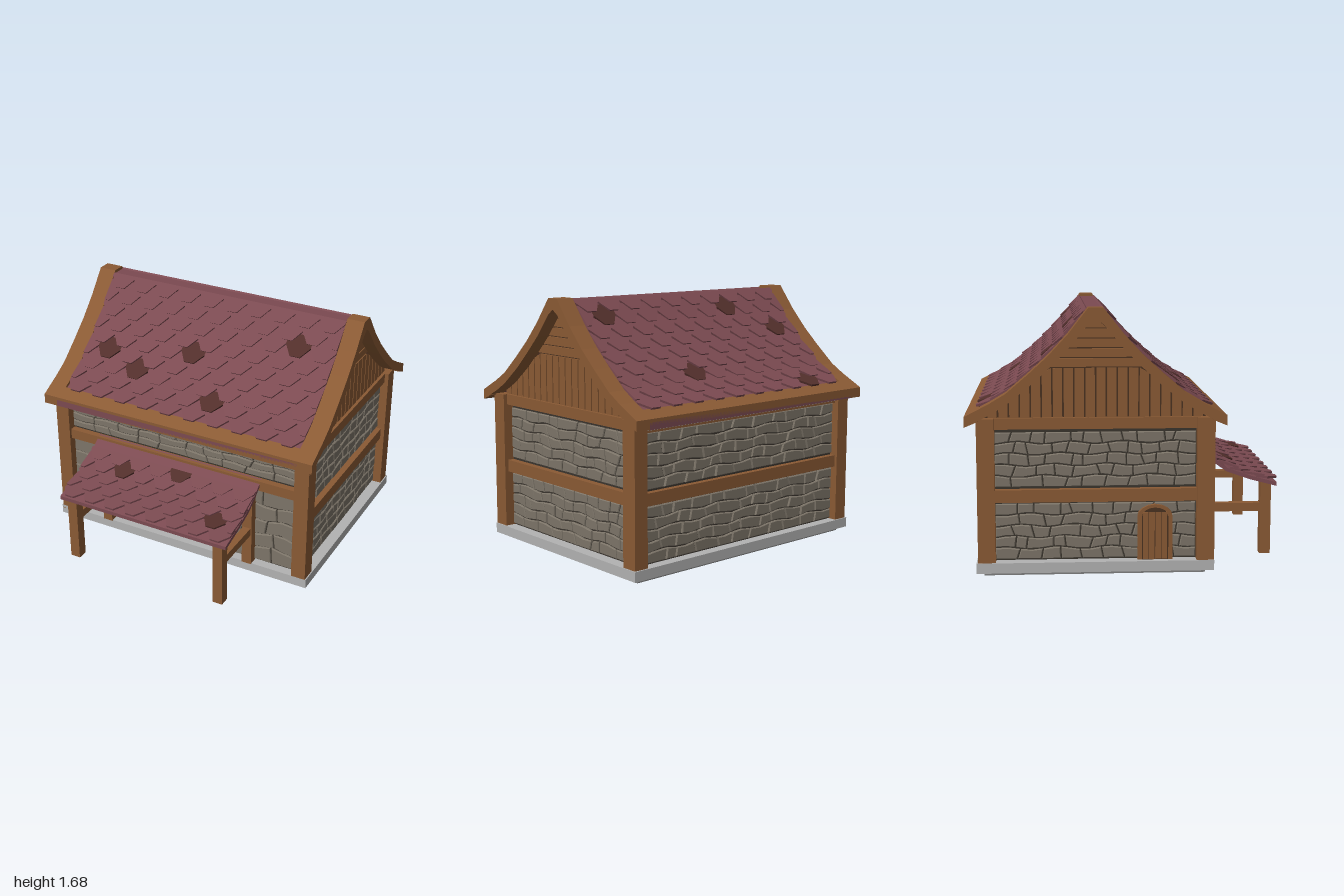
import * as THREE from 'three';
import { mergeGeometries } from 'three/addons/utils/BufferGeometryUtils.js';

const mat = (color) => new THREE.MeshStandardMaterial({ color, flatShading: true });
const wood = mat(0x8a5a34), darkWood = mat(0x4a3220), stone = mat(0x7c7468), mortar = mat(0x3a342d);
const slab = mat(0xb2b2b2), plinthGrey = mat(0x808080), red = mat(0x7b4a51), darkTile = mat(0x522f2b);

const ZC = -0.19; // ridge line
// half profiles as [distance from ridge, height]
const OUTER = [[0.045, 1.68], [0.17, 1.52], [0.29, 1.39], [0.41, 1.28], [0.55, 1.16], [0.65, 1.1], [0.805, 1.02]];
const INNER = [[0, 1.61], [0.045, 1.58], [0.17, 1.43], [0.29, 1.31], [0.41, 1.2], [0.55, 1.09], [0.65, 1.03], [0.805, 0.955]];

function seeded(seed) {
  return () => {
    seed = (seed * 16807) % 2147483647;
    return seed / 2147483647;
  };
}

// linear lookup in a list of points: key column k, value column v
function lookup(pts, t, k = 0, v = 1) {
  for (let i = 1; i < pts.length; i++) {
    const a = pts[i - 1], b = pts[i];
    if ((t - a[k]) * (t - b[k]) <= 0) return a[v] + ((b[v] - a[v]) * (t - a[k])) / (b[k] - a[k]);
  }
  return pts[pts.length - 1][v];
}

// extrude a (z, y) outline between x0 and x1
function prism(pts, x0, x1) {
  const shape = new THREE.Shape(pts.map((p) => new THREE.Vector2(p[0], p[1])));
  const geo = new THREE.ExtrudeGeometry(shape, { depth: x1 - x0, bevelEnabled: false });
  return geo.rotateY(-Math.PI / 2).translate(x1, 0, 0);
}

const mirrorProfile = (pts) => [
  ...pts.map(([d, y]) => [ZC + d, y]).reverse(),
  ...pts.filter((p) => p[0] > 0).map(([d, y]) => [ZC - d, y]),
];

// jittered courses of bevelled stones, facing +z from the lower left corner
function stonePanel(w, h, rows, cols, seed) {
  const rnd = seeded(seed), geos = [], gap = 0.004;
  const line = (r, x) => (h * r) / rows + (r > 0 && r < rows ? Math.sin(x * 19 + r * 5.3 + seed) * h / rows * 0.14 : 0);
  for (let r = 0; r < rows; r++) {
    const n = cols + Math.floor(rnd() * 3) - 1;
    const cuts = [];
    for (let c = 0; c <= n; c++) {
      const edge = c === 0 || c === n ? 0 : 1, x = (w * (c + edge * (rnd() - 0.5) * 0.55)) / n;
      const lean = edge * (rnd() - 0.5) * 0.025;
      cuts.push([x - lean, x + lean]);
    }
    for (let c = 0; c < n; c++) {
      const [a0, a1] = cuts[c], [b0, b1] = cuts[c + 1], pts = [];
      for (const t of [0, 0.5, 1]) pts.push([a0 + (b0 - a0) * t, 0]);
      for (const t of [1, 0.5, 0]) pts.push([a1 + (b1 - a1) * t, 1]);
      const cx = (a0 + a1 + b0 + b1) / 4, cy = h * (r + 0.5) / rows;
      const sx = 1 - (2 * gap) / (b0 - a0), sy = 1 - (2 * gap * rows) / h;
      const shape = new THREE.Shape(pts.map(([x, k]) =>
        new THREE.Vector2(cx + (x - cx) * sx, cy + (line(r + k, x) - cy) * sy)));
      geos.push(new THREE.ExtrudeGeometry(shape, {
        depth: 0.008 + rnd() * 0.005, bevelEnabled: true, bevelSegments: 1,
        bevelThickness: 0.005, bevelSize: 0.005, bevelOffset: -0.005,
      }));
    }
  }
  return mergeGeometries(geos);
}

// overlapping pointed tiles laid down a curved slope; dark holds [x, d] spots of weathered tiles
function tileSlope(pts, x0, x1, rows, cols, dark, name) {
  const group = new THREE.Group();
  group.name = name;
  const len = [0];
  for (let i = 1; i < pts.length; i++) len.push(len[i - 1] + Math.hypot(pts[i][0] - pts[i - 1][0], pts[i][1] - pts[i - 1][1]));
  const table = pts.map((p, i) => [len[i], p[0], p[1]]);
  const pitch = len[len.length - 1] / rows, w = (x1 - x0) / cols;
  const at = (s) => new THREE.Vector3(0, lookup(table, s, 0, 2), lookup(table, s, 0, 1));
  const tiles = [];
  for (let r = 0; r < rows; r++) {
    const top = at(Math.max(0, (r - 0.55) * pitch)), end = at((r + 1) * pitch);
    const up = top.clone().sub(end), L = up.length();
    up.normalize();
    const normal = new THREE.Vector3(1, 0, 0).cross(up);
    for (let c = 0; c <= cols; c++) {
      const cx = x0 + w * (c + (r % 2 ? 0 : 0.5));
      if (cx - w / 2 > x1 - 0.001) continue;
      const outline = [[-0.5, L], [-0.5, pitch * 0.75], [-0.2, 0], [0.2, 0], [0.5, pitch * 0.75], [0.5, L]];
      const shape = new THREE.Shape(outline.map(([u, v]) =>
        new THREE.Vector2(THREE.MathUtils.clamp(cx + u * w, x0, x1), v)));
      const geo = new THREE.ExtrudeGeometry(shape, { depth: 0.014, bevelEnabled: false });
      // lift the lower end so each course sits over the next
      const lift = (p) => {
        for (let i = 0; i < p.count; i++) p.setZ(i, p.getZ(i) + 0.018 * (1 - p.getY(i) / L));
      };
      lift(geo.attributes.position);
      geo.applyMatrix4(new THREE.Matrix4().makeBasis(new THREE.Vector3(1, 0, 0), up, normal).setPosition(end));
      tiles.push({ geo, x: cx, d: end.z - pitch * 0.4 });
    }
  }
  for (const [x, d] of dark) {
    const dist = (t) => Math.hypot(t.x - x, t.d - d);
    tiles.reduce((a, b) => (dist(b) < dist(a) ? b : a)).dark = true;
  }
  for (const isDark of [false, true]) {
    const m = new THREE.Mesh(mergeGeometries(tiles.filter((t) => !!t.dark === isDark).map((t) => t.geo)), isDark ? darkTile : red);
    m.name = isDark ? 'weatheredTiles' : 'tiles';
    group.add(m);
  }
  return group;
}

export function createModel() {
  const model = new THREE.Group();
  const add = (name, geo, material) => {
    const m = new THREE.Mesh(geo, material);
    m.name = name;
    model.add(m);
    return m;
  };
  const box = (name, x0, x1, y0, y1, z0, z1, material = wood) =>
    add(name, new THREE.BoxGeometry(x1 - x0, y1 - y0, z1 - z0).translate((x0 + x1) / 2, (y0 + y1) / 2, (z0 + z1) / 2), material);

  // foundation and wall core
  box('plinth', -0.91, 0.91, 0.004, 0.035, -0.89, 0.5, plinthGrey);
  box('foundationSlab', -0.965, 0.965, 0.03, 0.095, -0.935, 0.55, slab);
  box('floorBeam', -0.055, 0.015, 0, 0.03, -0.79, -0.37);
  box('wallCore', -0.885, 0.885, 0.09, 0.95, -0.865, 0.485, mortar);
  box('wallPlate', -0.87, 0.87, 0.93, 0.99, -0.9, 0.52, slab);

  // stone panels: front, back and both ends
  const panel = (name, w, y0, y1, rows, cols, seed, x, z, turn) => {
    const m = add(name, stonePanel(w, y1 - y0, rows, cols, seed), stone);
    m.position.set(x, y0, z);
    m.rotation.y = turn;
  };
  panel('frontLowerStones', 1.72, 0.1, 0.66, 5, 9, 11, -0.86, 0.485, 0);
  panel('frontUpperStones', 1.72, 0.75, 0.915, 3, 11, 23, -0.86, 0.485, 0);
  panel('backLowerStones', 1.72, 0.1, 0.46, 5, 12, 37, 0.86, -0.865, Math.PI);
  panel('backUpperStones', 1.72, 0.56, 0.915, 5, 12, 41, 0.86, -0.865, Math.PI);
  for (const [y0, y1, seed] of [[0.1, 0.46, 53], [0.56, 0.91, 67]]) {
    panel('endStones', 1.26, y0, y1, 5, 10, seed, 0.885, 0.44, Math.PI / 2);
    panel('endStones', 1.26, y0, y1, 5, 10, seed + 5, -0.885, -0.82, -Math.PI / 2);
  }

  // timber frame
  for (const s of [-1, 1]) {
    const [xa, xb] = s > 0 ? [0.857, 0.957] : [-0.957, -0.857];
    box('cornerPost', xa, xb, 0.07, 1.0, 0.44, 0.55);
    box('cornerPost', xa, xb, 0.07, 1.0, -0.925, -0.815);
    const [ba, bb] = s > 0 ? [0.87, 0.93] : [-0.93, -0.87];
    box('endMiddleBeam', ba, bb, 0.47, 0.55, -0.82, 0.44);
    box('endTopBeam', ba, bb, 0.93, 1.0, -0.82, 0.44);
  }
  box('frontMiddleBeam', -0.86, 0.86, 0.67, 0.74, 0.47, 0.53);
  box('frontTopBeam', -0.86, 0.86, 0.915, 0.935, 0.47, 0.515);
  box('backMiddleBeam', -0.86, 0.86, 0.47, 0.55, -0.905, -0.85);
  box('backTopBeam', -0.86, 0.86, 0.915, 0.935, -0.895, -0.85);

  // roof body, bargeboards and eave boards
  const outer = mirrorProfile(OUTER), inner = mirrorProfile(INNER).reverse();
  const roofTop = OUTER.map(([d, y]) => [d, y - 0.02]);
  add('roofBody', prism([...mirrorProfile(roofTop), ...inner], -0.9, 0.9), red);
  for (const x of [-1, 0.88]) add('bargeboard', prism([...outer, ...inner], x, x + 0.12), wood);
  for (const s of [-1, 1]) {
    const pts = [[0.72, 0.99], [0.805, 0.955], [0.805, 1.02], [0.72, 1.064]].map(([d, y]) => [ZC + s * d, y]);
    add('eaveBoard', prism(pts, -0.999, 0.999), wood);
  }

  // main roof tiles on both slopes
  const slope = [...roofTop.slice(0, -1), [0.725, 1.043]];
  const spotsFront = [[0.62, 0.19], [-0.14, 0.33], [-0.7, 0.43], [-0.42, 0.55], [0.2, 0.6]];
  const spotsBack = [[0.63, 0.62], [-0.27, 0.45], [0.7, 0.34], [0.35, 0.2], [-0.68, 0.16]];
  const front = tileSlope(slope, -0.88, 0.88, 9, 10, spotsFront, 'frontRoofTiles');
  const back = tileSlope(slope, -0.88, 0.88, 9, 10, spotsBack, 'backRoofTiles');
  front.position.z = back.position.z = ZC;
  back.rotation.y = Math.PI;
  model.add(front, back);

  // gable ends: upright boards below, level boards above
  const under = (z) => lookup(INNER, Math.abs(z - ZC));
  const gable = mirrorProfile([...INNER.slice(0, -1), [0.7, 0.99]]);
  for (const s of [-1, 1]) {
    const span = s > 0 ? [0.87, 0.91] : [-0.91, -0.87];
    add('gableBacking', prism(gable, s > 0 ? 0.86 : -0.895, s > 0 ? 0.895 : -0.86), darkWood);
    const boards = [];
    for (let i = -10; i < 10; i++) {
      const z0 = ZC + i * 0.067 + 0.005, z1 = z0 + 0.057;
      boards.push(prism([[z0, 0.99], [z1, 0.99], [z1, Math.min(1.305, under(z1))], [z0, Math.min(1.305, under(z0))]], ...span));
    }
    for (let y = 1.313; y < 1.56; y += 0.06) {
      const a = lookup(INNER, y, 1, 0), b = lookup(INNER, y + 0.052, 1, 0);
      boards.push(prism([[ZC - a, y], [ZC + a, y], [ZC + b, y + 0.052], [ZC - b, y + 0.052]], ...span));
    }
    add('gableBoards', mergeGeometries(boards), wood);
  }

  // arched door in the right-hand end
  const arch = (r, base, spring) => {
    const pts = [[0.18 - r, base], [0.18 + r, base]];
    for (let i = 0; i <= 8; i++) pts.push([0.18 + r * Math.cos(i * Math.PI / 8), spring + r * 0.7 * Math.sin(i * Math.PI / 8)]);
    return pts;
  };
  add('doorFrame', prism(arch(0.11, 0.095, 0.37), -0.925, -0.88), wood);
  add('doorRecess', prism(arch(0.083, 0.096, 0.37), -0.928, -0.88), darkWood);
  for (let i = 0; i < 4; i++) box('doorPlank', -0.932, -0.9, 0.1, 0.4, 0.103 + i * 0.039, 0.138 + i * 0.039);

  // porch: curved tiled roof on posts and rails
  const porch = [[0.5, 0.745], [0.58, 0.685], [0.67, 0.62], [0.83, 0.565], [1.0, 0.52]];
  const porchUnder = porch.map(([z, y]) => [z, y - 0.025]);
  add('porchRoof', prism([...porch.slice().reverse(), ...porchUnder], -0.64, 0.605), red);
  model.add(tileSlope(porch.slice(1), -0.64, 0.605, 5, 8, [[0.12, 0.63], [-0.36, 0.75], [0.46, 0.93]], 'porchTiles'));
  for (const x of [-0.605, 0.495]) {
    box('porchPost', x, x + 0.07, 0.035, 0.525, 0.9, 0.97);
    box('porchWallPost', x, x + 0.07, 0.09, 0.67, 0.49, 0.555);
    box('porchRail', x + 0.008, x + 0.062, 0.32, 0.375, 0.54, 0.91);
  }
  return model;
}
